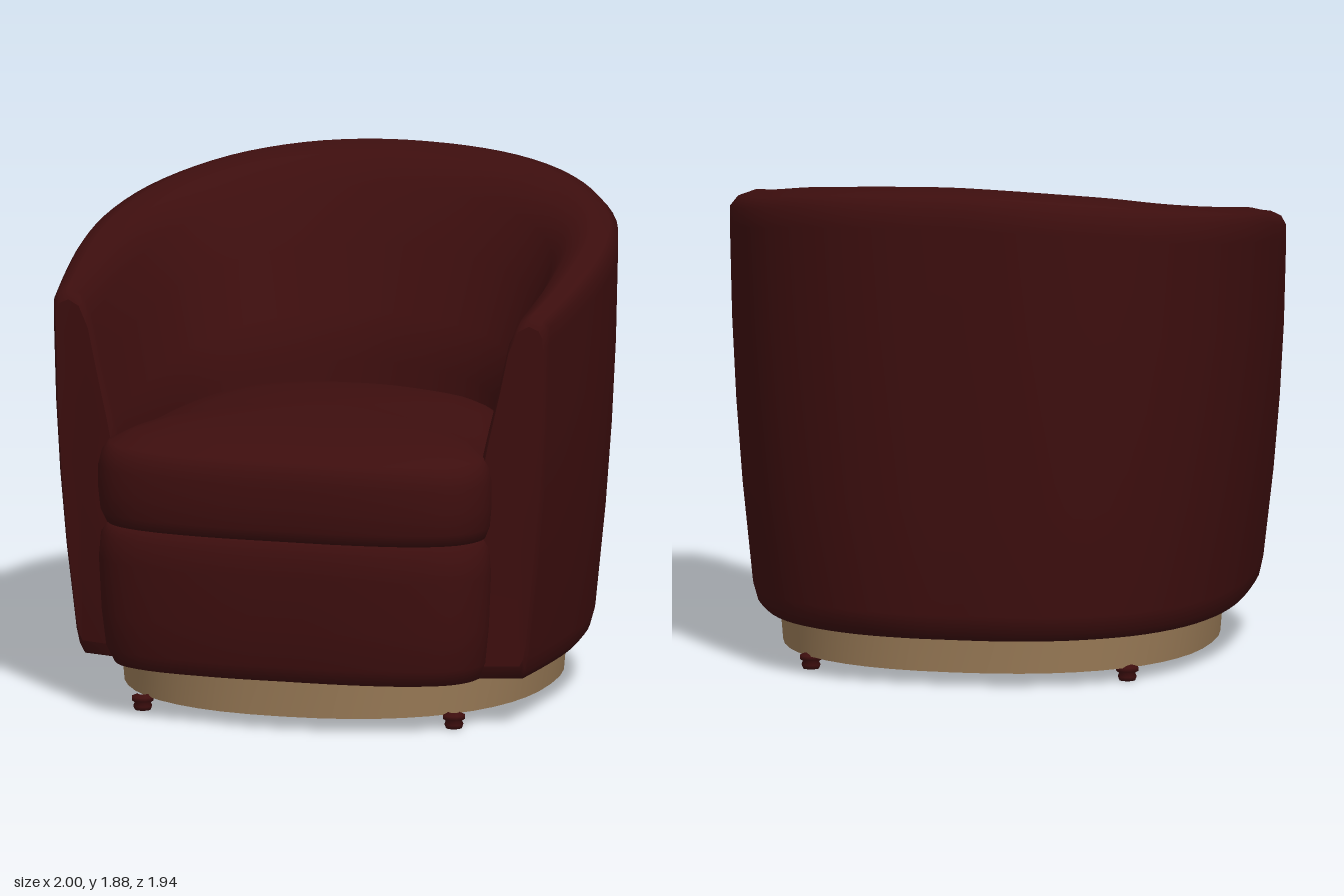
import * as THREE from 'three';

const V = (x, y, z) => new THREE.Vector3(x, y, z);

// Skin a series of closed loops; optional flat end caps
function loft(loops, caps = true) {
  const n = loops[0].length, pos = [], idx = [];
  loops.forEach(l => l.forEach(p => pos.push(p.x, p.y, p.z)));
  for (let j = 0; j < loops.length - 1; j++) {
    for (let i = 0; i < n; i++) {
      const a = j * n + i, b = j * n + (i + 1) % n;
      idx.push(a, a + n, b, b, a + n, b + n);
    }
  }
  if (caps) {
    [loops[0], loops[loops.length - 1]].forEach((l, end) => {
      const s = pos.length / 3, c = V(0, 0, 0);
      l.forEach(p => { pos.push(p.x, p.y, p.z); c.add(p); });
      c.divideScalar(n);
      pos.push(c.x, c.y, c.z);
      for (let i = 0; i < n; i++) {
        const k = (i + 1) % n;
        if (end) idx.push(s + n, s + k, s + i);
        else idx.push(s + n, s + i, s + k);
      }
    });
  }
  const g = new THREE.BufferGeometry();
  g.setAttribute('position', new THREE.Float32BufferAttribute(pos, 3));
  g.setIndex(idx);
  g.computeVertexNormals();
  return g;
}

// Stack scaled copies of an outline: rings are [scale, y], scaled about z = cz
const stack = (outline, rings, cz, caps) => loft(rings.map(([s, y]) =>
  outline.map(p => V(p.x * s, y, cz + (p.z - cz) * s))), caps);

// Mirrored open curve whose half runs from the back centre to the left front
const mirrored = half => new THREE.CatmullRomCurve3([
  ...half.slice(1).reverse().map(p => V(-p[0], p[1], p[2])),
  ...half.map(p => V(...p))]);

// Wraparound back and arms: one upholstered section swept along a horseshoe
function shellGeometry() {
  // outer edge (y is the crest height) and inner edge at seat level
  const outer = mirrored([[0, 1.89, -0.97], [0.2, 1.885, -0.965], [0.42, 1.87, -0.92], [0.62, 1.845, -0.82],
    [0.78, 1.81, -0.68], [0.91, 1.77, -0.46], [0.98, 1.73, -0.2], [1, 1.69, 0.06], [0.985, 1.635, 0.34], [0.955, 1.585, 0.61]]);
  const inner = mirrored([[0, 0, -0.4], [0.13, 0, -0.385], [0.27, 0, -0.345], [0.41, 0, -0.27], [0.5, 0, -0.18],
    [0.56, 0, -0.08], [0.6, 0, 0.04], [0.635, 0, 0.2], [0.665, 0, 0.4], [0.69, 0, 0.63]]);
  // [fraction from outer to inner, fraction of height], down the outside and up the inside
  const section = [[0, 0.965], [0, 0.92], [0, 0.7], [0, 0.5], [0, 0.3], [0, 0.06], [0.03, 0.02], [0.1, 0], [1.1, 0],
    [1.05, 0.2], [1, 0.56], [0.88, 0.66], [0.7, 0.8], [0.56, 0.92], [0.4, 0.983], [0.22, 1], [0.07, 0.988]];
  const loops = [], N = 54;
  for (let j = 0; j <= N; j++) {
    const o = outer.getPoint(j / N), q = inner.getPoint(j / N);
    loops.push(section.map(([k, f]) => {
      const t = (1 - f) ** 2;
      const x = o.x * (1 - 0.1 * t), z = o.z * (1 - 0.05 * t);
      return V(x + (q.x - x) * k, 0.19 + f * (o.y - 0.19), z + (q.z - z) * k);
    }));
  }
  // softened arm fronts
  const soften = (loop, s, dz) => {
    const c = loop.reduce((a, p) => a.add(p), V(0, 0, 0)).divideScalar(loop.length);
    return loop.map(p => V(c.x + (p.x - c.x) * s, c.y + (p.y - c.y) * (0.5 + s / 2), p.z + dz));
  };
  const first = loops[0], last = loops[N];
  loops.unshift(soften(first, 0.86, 0.04), soften(first, 0.96, 0.025));
  loops.push(soften(last, 0.96, 0.025), soften(last, 0.86, 0.04));
  return loft(loops);
}

export function createModel() {
  const model = new THREE.Group();
  const fabric = new THREE.MeshStandardMaterial({ color: 0x3d0e0e });
  fabric.name = 'dark red upholstery';
  const wood = new THREE.MeshStandardMaterial({ color: 0x9a7b57 });
  wood.name = 'tan wood';
  const add = (name, geometry, material, x = 0, y = 0, z = 0) => {
    const m = new THREE.Mesh(geometry, material);
    m.name = name;
    m.position.set(x, y, z);
    model.add(m);
    return m;
  };

  add('backAndArms', shellGeometry(), fabric);

  // Seat outline, wider in front of the arms
  const half = [[0, -0.42], [0.27, -0.38], [0.5, -0.25], [0.6, -0.05], [0.66, 0.2], [0.7, 0.5], [0.75, 0.68],
    [0.74, 0.77], [0.68, 0.86], [0.55, 0.925], [0.3, 0.965], [0, 0.97]];
  const outline = new THREE.CatmullRomCurve3([
    ...half.map(([x, z]) => V(x, 0, z)),
    ...half.slice(1, -1).reverse().map(([x, z]) => V(-x, 0, z))], true).getPoints(64).slice(0, 64);

  add('seatCushion', stack(outline, [[0.9, 0.735], [0.965, 0.735], [0.99, 0.78], [1, 0.86], [1, 0.95], [0.985, 1],
    [0.955, 1.035], [0.85, 1.07], [0.7, 1.097], [0.5, 1.115], [0.25, 1.127], [0.05, 1.13]], 0.25), fabric);
  add('seatBody', stack(outline, [[0.05, 0.188], [0.86, 0.188], [0.93, 0.2], [0.965, 0.26], [0.985, 0.4],
    [0.997, 0.6], [0.988, 0.69], [0.95, 0.735], [0.5, 0.74]], 0.25), fabric);

  // Plinth ring, slightly squared towards the feet
  const cz = 0.035, ring = [];
  for (let i = 0; i < 48; i++) {
    const a = i / 48 * Math.PI * 2, e = 2 / 2.3;
    const pw = v => Math.sign(v) * Math.abs(v) ** e;
    ring.push(V(0.81 * pw(Math.cos(a)), 0, cz + 0.845 * pw(Math.sin(a))));
  }
  add('plinthRing', stack(ring, [[0.9, 0.055], [0.985, 0.055], [0.985, 0.055], [1, 0.2], [1, 0.2],
    [0.9, 0.2], [0.9, 0.2], [0.9, 0.055]], cz, false), wood);

  // Underside bracing
  add('crossBar', new THREE.BoxGeometry(1.44, 0.05, 0.06), wood, 0, 0.165, cz);
  for (const s of [-1, 1]) {
    add('diagonalBrace', new THREE.BoxGeometry(1.56, 0.009, 0.06), wood, 0, 0.182, cz).rotation.y = s * Math.PI / 4;
  }

  // Small turned feet
  const foot = new THREE.LatheGeometry([[0, 0], [0.03, 0], [0.036, 0.015], [0.03, 0.028], [0.042, 0.036],
    [0.042, 0.05], [0.02, 0.06]].map(p => new THREE.Vector2(...p)), 12);
  for (const x of [-0.6, 0.6]) for (const z of [-0.54, 0.66]) add('foot', foot, fabric, x, 0.005, z);

  return model;
}
